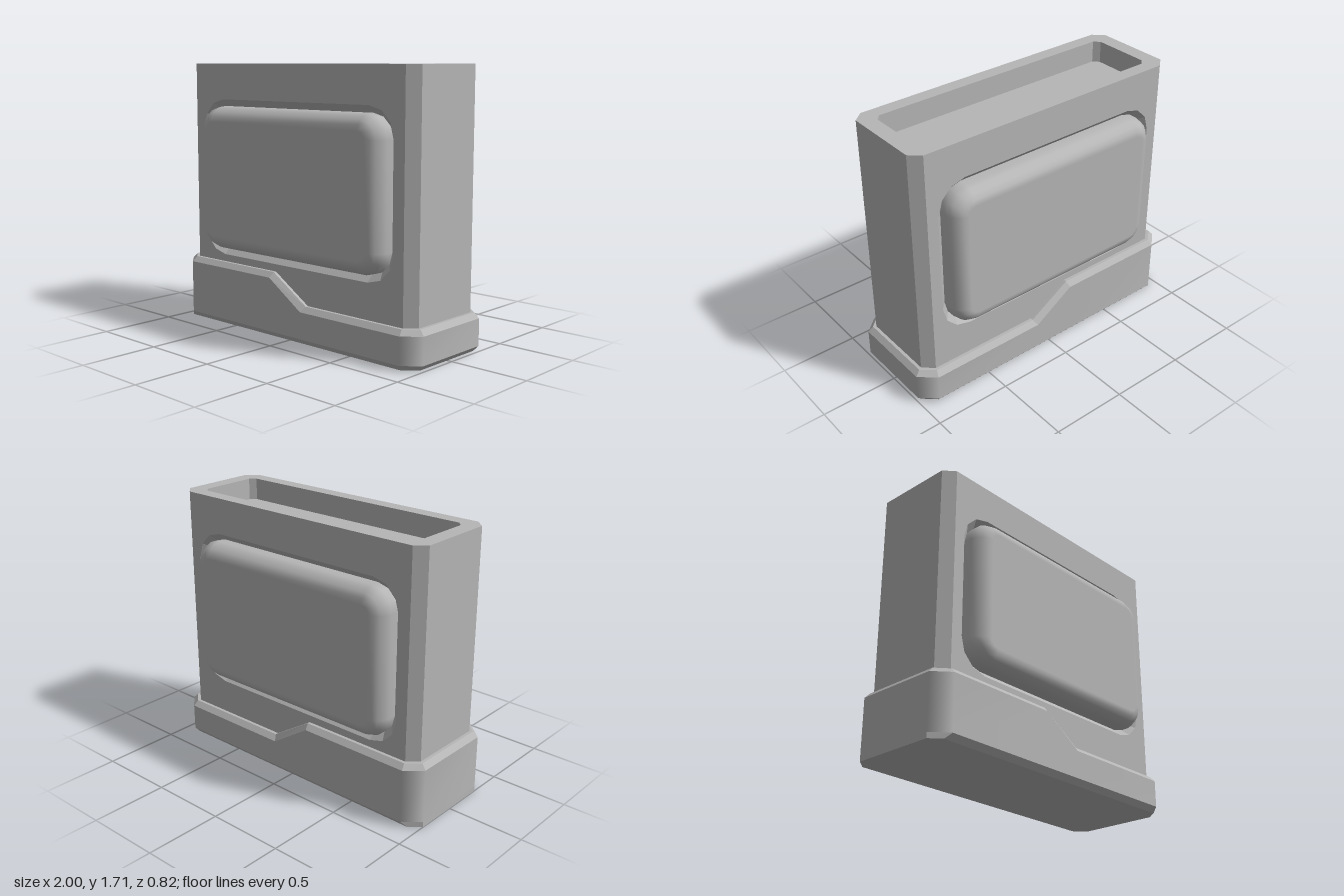
import * as THREE from 'three';

const grey = new THREE.MeshStandardMaterial({ color: 0xb6b6b6 });
grey.name = 'matte grey';

function part(name, geometry) {
  const mesh = new THREE.Mesh(geometry, grey);
  mesh.name = name;
  return mesh;
}

// Joins successive rings of [x, y, z] points with quads; cap closes the last ring.
function loft(rings, { closed = true, flat = false, cap = false } = {}) {
  const n = rings[0].length, index = [];
  const points = rings.flat();
  for (let r = 0; r < rings.length - 1; r++) {
    for (let i = 0; i < (closed ? n : n - 1); i++) {
      const a = r * n + i, b = r * n + (i + 1) % n;
      index.push(a, b, b + n, a, b + n, a + n);
    }
  }
  const last = (rings.length - 1) * n;
  if (cap) {
    const c = [0, 1, 2].map(k => rings.at(-1).reduce((s, p) => s + p[k], 0) / n);
    points.push(c);
    for (let i = 0; i < n; i++) index.push(last + i, last + (i + 1) % n, points.length - 1);
  }
  let g = new THREE.BufferGeometry();
  g.setAttribute('position', new THREE.Float32BufferAttribute(points.flat(), 3));
  g.setIndex(index);
  if (flat) g = g.toNonIndexed();
  g.computeVertexNormals();
  // keep the capped face flat while its rim rolls away smoothly
  if (cap && !flat) for (let i = last; i < points.length; i++) g.attributes.normal.setXYZ(i, 0, 0, 1);
  return g;
}

// Rectangle with chamfered corners, counter-clockwise
function octagon(w, h, c) {
  return [[w, -h + c], [w, h - c], [w - c, h], [-w + c, h],
    [-w, h - c], [-w, -h + c], [-w + c, -h], [w - c, -h]];
}

// Rectangle with three-segment rounded corners, counter-clockwise
function roundedRect(w, h, r, cy) {
  const pts = [];
  [[1, 1], [-1, 1], [-1, -1], [1, -1]].forEach(([sx, sy], q) => {
    for (let i = 0; i <= 3; i++) {
      const t = (q + i / 3) * Math.PI / 2;
      pts.push([sx * (w - r) + r * Math.cos(t), cy + sy * (h - r) + r * Math.sin(t)]);
    }
  });
  return pts;
}

const vectors = pts => pts.map(([x, y]) => new THREE.Vector2(x, y));

function plate(outline, hole) {
  const shape = new THREE.Shape(vectors(outline));
  if (hole) shape.holes.push(new THREE.Path(vectors(hole)));
  return new THREE.ShapeGeometry(shape);
}

// Stepped foot: front edge runs -x to +x, the back edge mirrors it
function createBase() {
  const base = new THREE.Group();
  base.name = 'base';
  const ring = front => [...front, ...[...front].reverse().map(([x, y, z]) => [x, y, -z])];
  const xs = [-1, -0.9, -0.15, 0.12, 0.9, 1];
  const zs = [0.27, 0.36, 0.36, 0.36, 0.36, 0.27];
  const heights = [0.38, 0.38, 0.38, 0.205, 0.205, 0.205];
  const lipX = [-0.97, -0.89, -0.14, 0.14, 0.89, 0.97];
  const footX = [-1, -0.933, -0.15, 0.12, 0.89, 0.967];
  const footZ = [0.27, 0.33, 0.33, 0.33, 0.33, 0.26];

  const foot = ring(footX.map((x, i) => [x, 0, footZ[i]]));
  const low = ring(xs.map((x, i) => [x, 0.035, zs[i]]));
  const high = ring(xs.map((x, i) => [x, heights[i], zs[i]]));
  const lip = ring(lipX.map((x, i) => [x, heights[i] + 0.033, i % 5 ? 0.33 : 0.26]));

  base.add(part('baseLowerBevel', loft([foot, low], { flat: true })));
  base.add(part('baseWall', loft([low, high])));
  base.add(part('baseUpperBevel', loft([high, lip], { flat: true })));
  // caps are strips between the front and back edges
  base.add(part('baseTop', loft([lip.slice(0, 6), lip.slice(6).reverse()], { closed: false, flat: true })));
  base.add(part('baseUnderside', loft([foot.slice(6).reverse(), foot.slice(0, 6)], { closed: false, flat: true })));
  return base;
}

// Chamfered housing with an open tray at the top
function createBody() {
  const body = new THREE.Group();
  body.name = 'body';
  const top = 1.71, floor = 1.57, bottom = 0.18;
  const end = [[0.883, 0.31], [0.95, 0.25], [0.95, -0.25], [0.883, -0.31]];
  for (const s of [1, -1]) {
    const at = y => end.map(([x, z]) => [s * x, y, s * z]);
    body.add(part(s > 0 ? 'leftEnd' : 'rightEnd', loft([at(bottom), at(top)], { closed: false, flat: true })));
  }
  const outer = [...end, ...end.map(([x, z]) => [-x, -z])].map(([x, z]) => [x, -z]);
  const inner = octagon(0.85, 0.22, 0.035);
  const rim = plate(outer, inner);
  rim.rotateX(-Math.PI / 2).translate(0, top, 0);
  body.add(part('topRim', rim));
  const innerAt = y => inner.map(([x, z]) => [x, y, -z]);
  body.add(part('trayWall', loft([innerAt(top), innerAt(floor)], { flat: true })));
  const tray = plate(inner);
  tray.rotateX(-Math.PI / 2).translate(0, floor, 0);
  body.add(part('trayFloor', tray));
  return body;
}

// Broad face with a bevelled recess holding a raised cushion-like pad
function createPanel(name) {
  const panel = new THREE.Group();
  panel.name = name;
  const inset = (d, z) => roundedRect(0.81 - d, 0.51 - d, 0.19 - d, 0.97).map(([x, y]) => [x, y, z]);
  const face = plate([[-0.883, 0.18], [0.883, 0.18], [0.883, 1.71], [-0.883, 1.71]], inset(0, 0));
  face.translate(0, 0, 0.31);
  panel.add(part('face', face));
  panel.add(part('recessBevel', loft([inset(0, 0.31), inset(0.047, 0.262)], { flat: true })));
  panel.add(part('pad', loft([
    inset(0.045, 0.26), inset(0.045, 0.32), inset(0.056, 0.352),
    inset(0.078, 0.382), inset(0.105, 0.402), inset(0.14, 0.41),
  ], { cap: true })));
  return panel;
}

export function createModel() {
  const model = new THREE.Group();
  model.name = 'boxOnSteppedBase';
  const back = createPanel('backPanel');
  back.rotation.y = Math.PI;
  model.add(createBase(), createBody(), createPanel('frontPanel'), back);
  return model;
}
